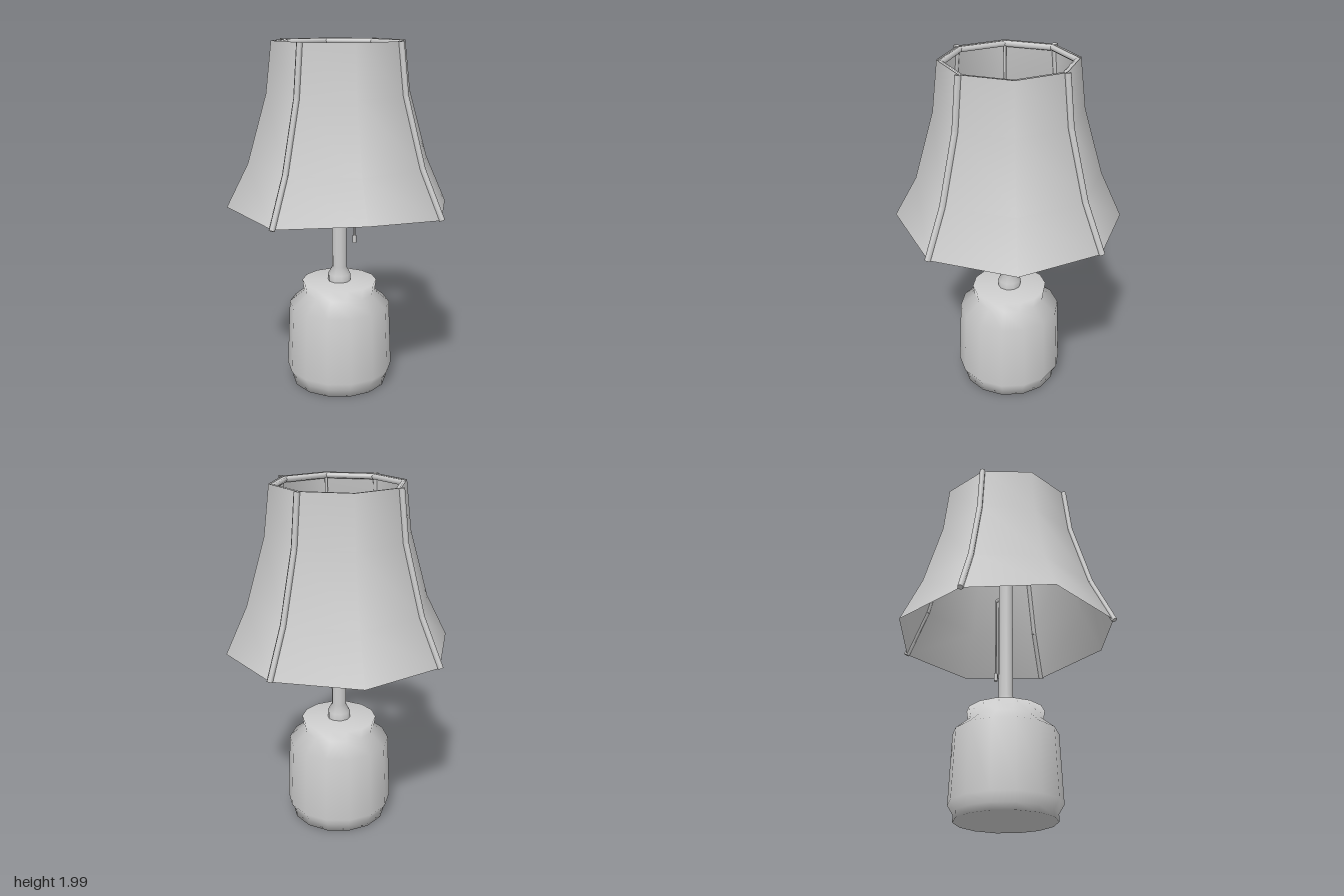
import * as THREE from 'three';

const grey = new THREE.MeshStandardMaterial({ color: 0xcccccc });
const thin = new THREE.MeshStandardMaterial({ color: 0xcccccc, side: THREE.DoubleSide });
const UP = new THREE.Vector3(0, 1, 0);

function add(parent, name, geometry, material = grey) {
  const mesh = new THREE.Mesh(geometry, material);
  mesh.name = name;
  parent.add(mesh);
  return mesh;
}

// Turned part from [radius, height] pairs, listed from bottom to top
function turned(parent, name, profile, sides, material) {
  const points = profile.map(([r, y]) => new THREE.Vector2(r, y));
  return add(parent, name, new THREE.LatheGeometry(points, sides), material);
}

// Straight capped bar between two points
function bar(parent, name, a, b, radius, sides = 6) {
  const dir = b.clone().sub(a);
  const mesh = add(parent, name, new THREE.CylinderGeometry(radius, radius, dir.length(), sides));
  mesh.position.copy(a).add(b).multiplyScalar(0.5);
  mesh.quaternion.setFromUnitVectors(UP, dir.normalize());
  return mesh;
}

const polar = (angle, r, y) => new THREE.Vector3(Math.sin(angle) * r, y, Math.cos(angle) * r);

export function createModel() {
  const lamp = new THREE.Group();
  lamp.name = 'tableLamp';

  // Jar-shaped base
  turned(lamp, 'base', [
    [0, 0], [0.28, 0], [0.28, 0.04], [0.31, 0.09], [0.293, 0.48],
    [0.208, 0.55], [0.217, 0.615], [0, 0.615],
  ], 14);

  // Pole with its collar and rounded top
  turned(lamp, 'pole', [
    [0.066, 0.61], [0.066, 0.655], [0.042, 0.7], [0.042, 1.58],
  ], 10);
  const knob = add(lamp, 'poleKnob', new THREE.SphereGeometry(0.067, 8, 6));
  knob.position.y = 1.62;

  // Eight-sided flared shade with an uneven lower edge
  const profile = [[0.64, 1.065], [0.517, 1.33], [0.408, 1.71], [0.375, 1.99]];
  const shade = turned(lamp, 'shade', profile, 8, thin);
  const drop = [1.11, 1.065, 1.06, 1.065, 1.06, 1.065, 1.09, 1.07];
  const pos = shade.geometry.attributes.position;
  for (let i = 0; i <= 8; i++) pos.setY(i * profile.length, drop[i % 8]);

  // Ribs down the diagonal corners
  const ribs = new THREE.Group();
  ribs.name = 'shadeRibs';
  lamp.add(ribs);
  for (let i = 0; i < 4; i++) {
    const angle = Math.PI / 4 + i * Math.PI / 2;
    const path = profile.map(([r, y]) => polar(angle, r + 0.004, y));
    for (let j = 0; j < 3; j++) bar(ribs, 'rib', path[j], path[j + 1], 0.017);
  }

  // Wire frame: top rim, inner struts and spokes
  const frame = new THREE.Group();
  frame.name = 'shadeFrame';
  lamp.add(frame);
  for (let i = 0; i < 8; i++) {
    const a = i * Math.PI / 4;
    bar(frame, 'topRim', polar(a, 0.358, 1.972), polar(a + Math.PI / 4, 0.358, 1.972), 0.017);
  }
  for (let i = 0; i < 4; i++) {
    const a = i * Math.PI / 2;
    bar(frame, 'strut', polar(a, 0.352, 1.975), polar(a, 0.352, 1.61), 0.009);
    bar(frame, 'spoke', polar(a, 0, 1.615), polar(a, 0.355, 1.615), 0.009);
  }

  // Pull switch: arm, cord and weight
  const pull = new THREE.Group();
  pull.name = 'pullSwitch';
  lamp.add(pull);
  const at = (y) => new THREE.Vector3(0.095, y, -0.02);
  bar(pull, 'switchArm', new THREE.Vector3(0, 1.35, 0), at(1.35), 0.01);
  bar(pull, 'cord', at(1.355), at(0.86), 0.005);
  bar(pull, 'cordWeight', at(0.875), at(0.83), 0.012);

  return lamp;
}
